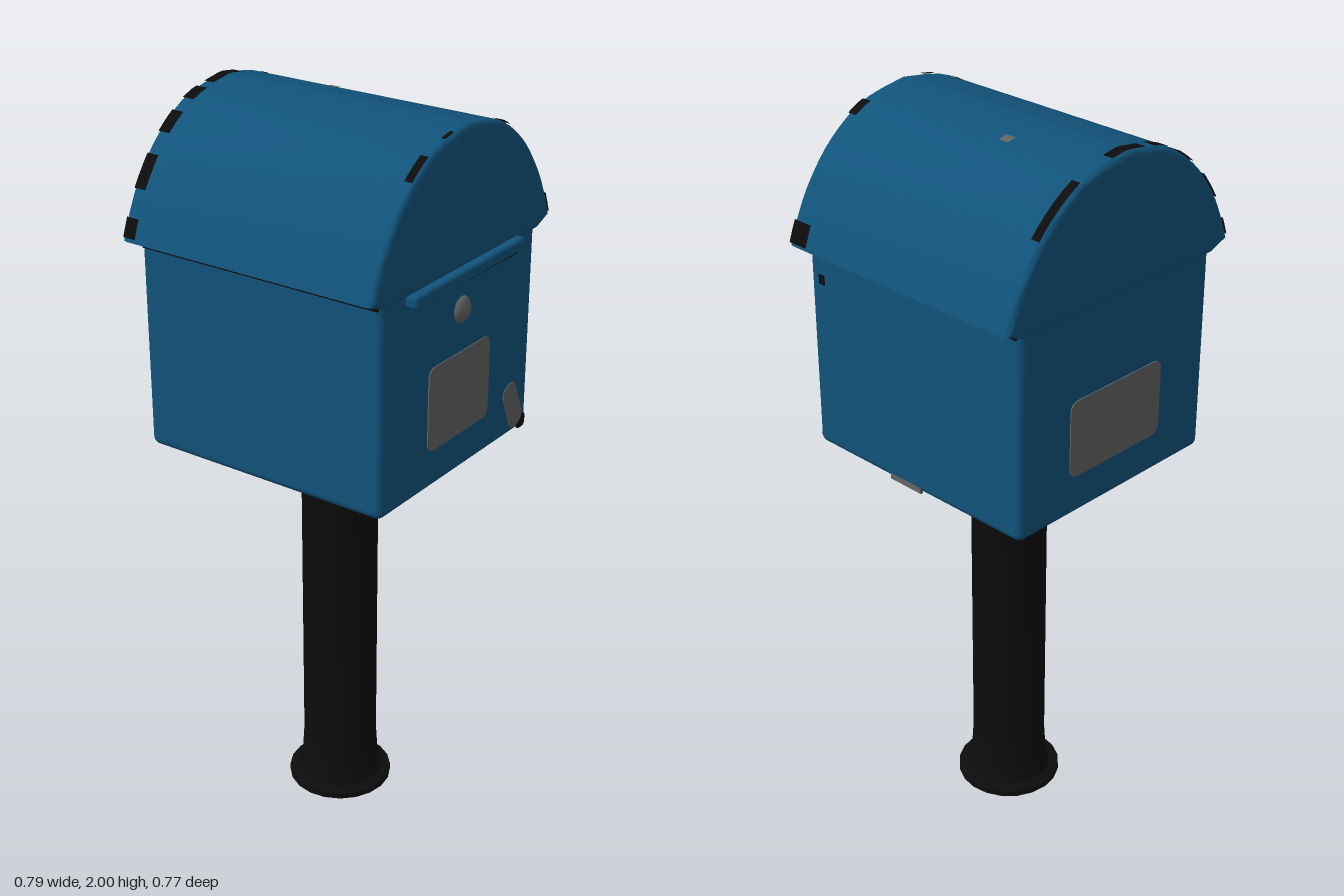
import * as THREE from 'three';
import { toCreasedNormals } from 'three/addons/utils/BufferGeometryUtils.js';
import { RoundedBoxGeometry } from 'three/addons/geometries/RoundedBoxGeometry.js';

const material = (name, color, side = THREE.FrontSide) => {
  const m = new THREE.MeshStandardMaterial({ color, side });
  m.name = name;
  return m;
};

// Right half of the arched roof, from eave to ridge
const halfArch = new THREE.SplineCurve([
  [0.393, 1.665], [0.368, 1.73], [0.325, 1.81], [0.25, 1.9], [0.14, 1.972], [0, 2],
].map(([x, y]) => new THREE.Vector2(x, y))).getPoints(18);

// Height of the roof at a given x
function roofHeight(x) {
  const a = Math.min(Math.abs(x), 0.3929);
  const i = halfArch.findIndex((p, k) => k > 0 && p.x <= a + 1e-9);
  const p = halfArch[i - 1], q = halfArch[i];
  return p.y + (q.y - p.y) * (p.x - a) / (p.x - q.x);
}

export function createModel() {
  const group = new THREE.Group();
  group.name = 'mailbox';
  const blue = material('blue paint', 0x11537b);
  const black = material('black metal', 0x0c0c0c, THREE.DoubleSide);
  const grey = material('grey metal', 0x626364, THREE.DoubleSide);

  const add = (name, geometry, mat, x = 0, y = 0, z = 0) => {
    const mesh = new THREE.Mesh(geometry, mat);
    mesh.name = name;
    mesh.position.set(x, y, z);
    group.add(mesh);
    return mesh;
  };

  // Post with a flared foot and a collar under the box
  const post = [[0, 0], [0.145, 0], [0.145, 0.016], [0.118, 0.024], [0.108, 0.07], [0.103, 0.15],
    [0.103, 1.05], [0.11, 1.075], [0.145, 1.083], [0.145, 1.095], [0, 1.095]];
  add('post', toCreasedNormals(new THREE.LatheGeometry(
    post.map(([x, y]) => new THREE.Vector2(x, y)), 20), 0.6), black, 0, 0, -0.012);

  // Box body
  add('body', new RoundedBoxGeometry(0.68, 0.59, 0.73, 3, 0.022), blue, 0, 1.385, -0.01);

  // Arched roof with softened ends and short eaves
  const bevel = 0.015;
  const outline = new THREE.Shape([
    new THREE.Vector2(-0.335, 1.643), new THREE.Vector2(0.335, 1.643),
    ...halfArch, ...halfArch.slice(0, -1).reverse().map(p => new THREE.Vector2(-p.x, p.y)),
  ]);
  const roof = new THREE.ExtrudeGeometry(outline, {
    depth: 0.753 - 2 * bevel, bevelEnabled: true, bevelThickness: bevel,
    bevelSize: bevel, bevelOffset: -bevel, bevelSegments: 3,
  });
  roof.translate(0, 0, -0.388 + bevel);
  add('roof', toCreasedNormals(roof, 0.6), blue);

  // Dark seams beneath the eaves
  for (const s of [-1, 1]) {
    add('eaveSeam', new THREE.BoxGeometry(0.006, 0.014, 0.71), black, s * 0.341, 1.644, -0.01);
  }

  // Letter slot cover with a dark underside
  const flap = add('slotCover', new RoundedBoxGeometry(0.485, 0.034, 0.05, 2, 0.01), blue, -0.002, 1.636, 0.362);
  flap.rotation.z = 0.012;
  add('slotShadow', new THREE.BoxGeometry(0.45, 0.006, 0.02), black, -0.002, 1.617, 0.364);

  // Round lock
  const lock = [[0.036, 0], [0.034, 0.006], [0.024, 0.015], [0, 0.019]];
  const lockMesh = add('lock', new THREE.LatheGeometry(
    lock.map(([x, y]) => new THREE.Vector2(x, y)), 14), grey, 0, 1.533, 0.353);
  lockMesh.rotation.x = Math.PI / 2;

  // Thin plates with rounded corners on both ends
  const plate = (w, h, r) => {
    const s = new THREE.Shape(), x = w / 2, y = h / 2;
    s.moveTo(-x + r, -y).lineTo(x - r, -y).quadraticCurveTo(x, -y, x, -y + r)
      .lineTo(x, y - r).quadraticCurveTo(x, y, x - r, y)
      .lineTo(-x + r, y).quadraticCurveTo(-x, y, -x, y - r)
      .lineTo(-x, -y + r).quadraticCurveTo(-x, -y, -x + r, -y);
    return new THREE.ExtrudeGeometry(s, { depth: 0.004, bevelEnabled: false });
  };
  add('frontPlate', plate(0.275, 0.225, 0.03), grey, -0.003, 1.309, 0.354);
  add('backPlate', plate(0.33, 0.21, 0.03), grey, 0, 1.305, -0.378);

  // Worn patches on the body
  const scuff = add('frontScuff', plate(0.065, 0.14, 0.03), grey, 0.262, 1.175, 0.353);
  scuff.rotation.z = 0.4;
  add('cornerScuff', plate(0.04, 0.04, 0.015), black, 0.308, 1.113, 0.3525);
  add('lowerScuff', new THREE.BoxGeometry(0.008, 0.026, 0.11), grey, 0.335, 1.101, 0.024);
  add('sideSpot', new THREE.BoxGeometry(0.004, 0.026, 0.02), black, 0.34, 1.57, 0.308);

  // Chipped patches that follow the roof: x from, x to, z from, z to
  const roofPatch = (name, mat, x0, x1, z0, z1) => {
    const g = new THREE.PlaneGeometry(1, 1, 8, 1), p = g.attributes.position;
    for (let i = 0; i < p.count; i++) {
      const x = x0 + (p.getX(i) + 0.5) * (x1 - x0);
      const z = p.getY(i) > 0 ? z0 : z1;
      p.setXYZ(i, x * 1.006, roofHeight(x) + 0.002, z);
    }
    g.computeVertexNormals();
    add(name, g, mat);
  };
  [
    [-0.39, -0.372, -0.382, -0.345], [-0.34, -0.287, -0.382, -0.347], [-0.244, -0.19, -0.382, -0.347],
    [-0.15, -0.096, -0.382, -0.347], [-0.066, 0.048, -0.382, -0.352], [0.155, 0.285, -0.382, -0.357],
    [-0.232, -0.167, 0.338, 0.36], [-0.1, -0.062, 0.348, 0.36], [0.134, 0.184, 0.332, 0.36],
    [0.37, 0.391, 0.3, 0.36],
  ].forEach(r => roofPatch('roofChip', black, ...r));
  roofPatch('roofSpot', grey, 0.09, 0.116, -0.12, -0.09);

  return group;
}
